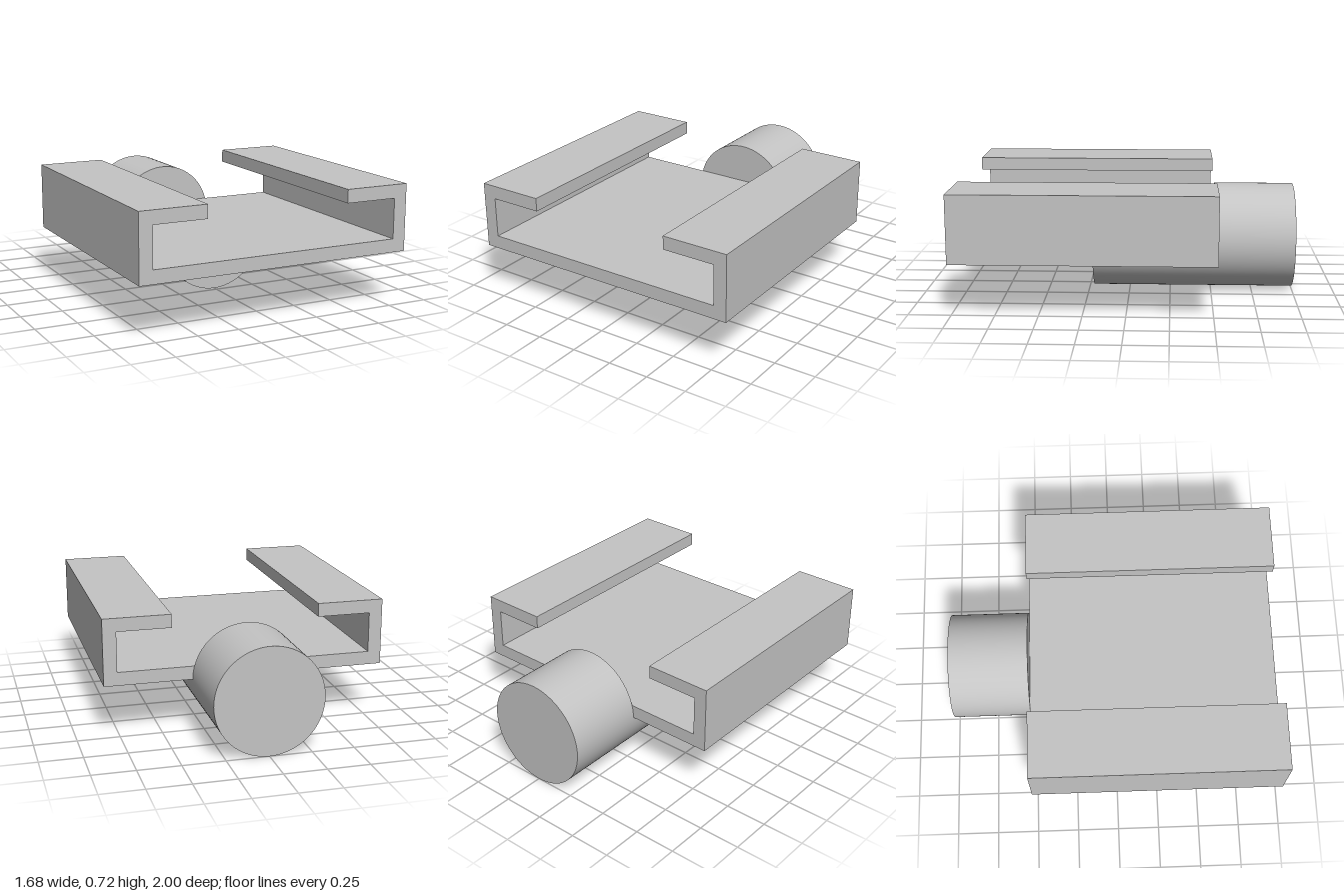
import * as THREE from 'three';

const R = 0.32;            // bar radius, also the height of the tray underside
const TRAY_BACK = -0.52;

// Round bar along z between two depths, optionally only a sector of it
function bar(z0, z1, segments, start = 0, sweep = Math.PI * 2) {
  const g = new THREE.CylinderGeometry(R, R, z1 - z0, segments, 1, false, start, sweep);
  g.rotateX(Math.PI / 2);
  g.translate(0, R, (z0 + z1) / 2);
  return g;
}

export function createModel() {
  const group = new THREE.Group();
  const grey = new THREE.MeshStandardMaterial({ color: 0xc4c4c4 });
  grey.name = 'light grey';

  const add = (name, geometry) => {
    const mesh = new THREE.Mesh(geometry, grey);
    mesh.name = name;
    group.add(mesh);
  };

  // C-shaped channel: floor, side walls and inward lips as one extruded profile
  const right = [[0.84, 0.32], [0.84, 0.72], [0.44, 0.72], [0.44, 0.64], [0.76, 0.64], [0.76, 0.4]];
  const left = right.map(([x, y]) => [-x, y]).reverse();
  const profile = new THREE.Shape([...right, ...left].map(([x, y]) => new THREE.Vector2(x, y)));
  const channel = new THREE.ExtrudeGeometry(profile, { depth: 1 - TRAY_BACK, bevelEnabled: false });
  channel.translate(0, 0, TRAY_BACK);
  add('channel', channel);

  // Full round bar behind the channel
  add('rearBar', bar(-1, TRAY_BACK, 96));

  // Lower half of the bar continuing under the channel floor
  add('underBar', bar(TRAY_BACK, 0.22, 48, -Math.PI / 2, Math.PI));

  return group;
}
